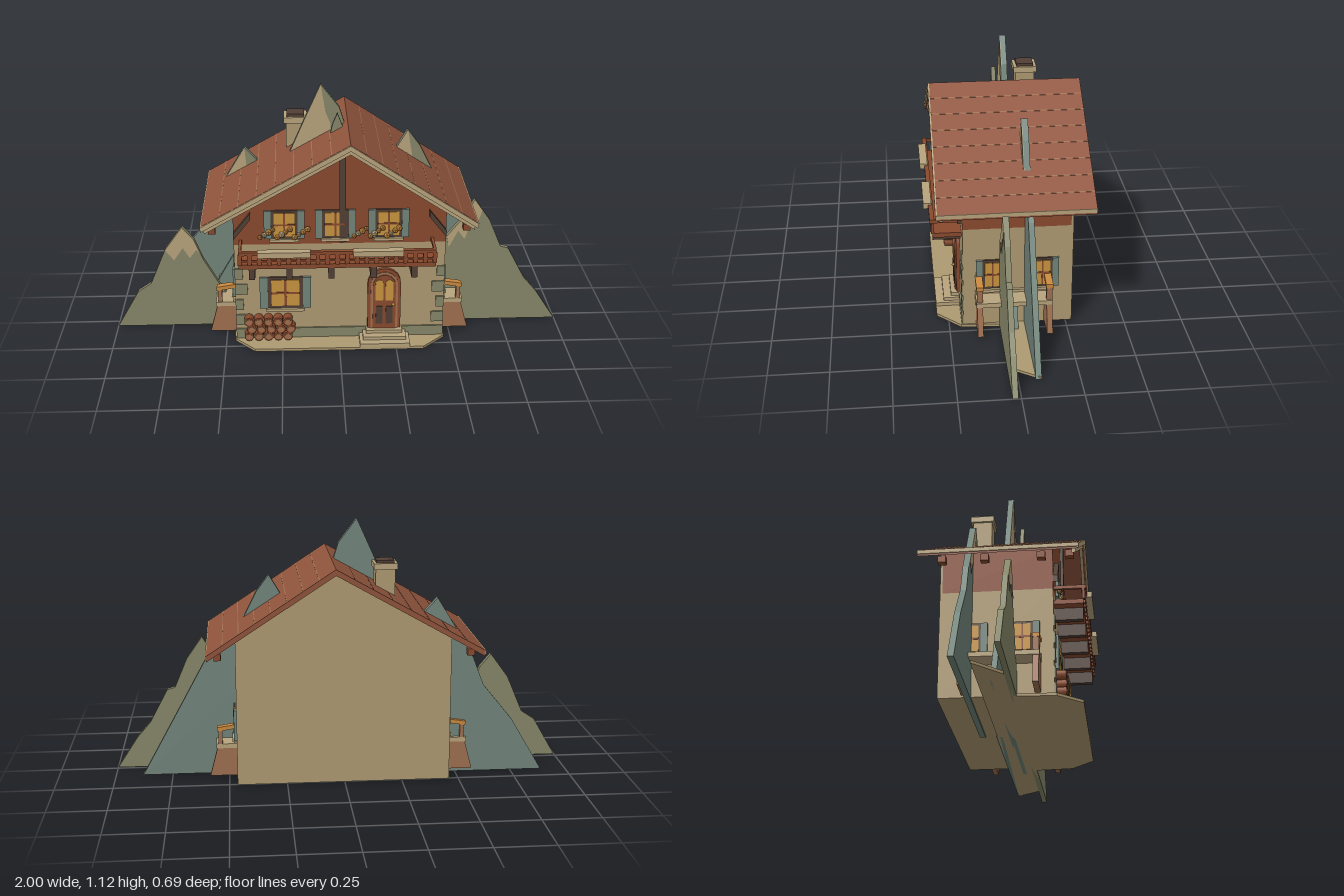
import * as THREE from 'three';

const mat = (name, color) => {
  const m = new THREE.MeshStandardMaterial({ color });
  m.name = name;
  return m;
};

export function createModel() {
  const cream = mat('plaster cream', 0xae9a72), red = mat('red timber', 0x8a4a2e), roofM = mat('roof tile', 0x8f543c);
  const teal = mat('slate teal', 0x72857b), olive = mat('olive stone', 0x87876a), dark = mat('dark timber', 0x513f35);
  const amber = mat('window amber', 0xc8943f), brown = mat('log brown', 0x9f7050), pale = mat('pale trim', 0xb8a47d);
  const flowerM = mat('flower orange', 0xc9893f);
  const model = new THREE.Group();
  model.name = 'alpineChalet';

  const add = (parent, geo, m, name, x = 0, y = 0, z = 0) => {
    const mesh = new THREE.Mesh(geo, m);
    mesh.name = name;
    mesh.position.set(x, y, z);
    parent.add(mesh);
    return mesh;
  };
  // Box given by its limits on each axis
  const box = (parent, m, name, x0, x1, y0, y1, z0, z1) =>
    add(parent, new THREE.BoxGeometry(x1 - x0, y1 - y0, z1 - z0), m, name, (x0 + x1) / 2, (y0 + y1) / 2, (z0 + z1) / 2);
  // Outline in x,y pushed from z0 to z1
  const slab = (parent, m, name, pts, z0, z1) => {
    const shape = new THREE.Shape(pts.map(p => new THREE.Vector2(p[0], p[1])));
    return add(parent, new THREE.ExtrudeGeometry(shape, { depth: z1 - z0, bevelEnabled: false }), m, name, 0, 0, z0);
  };

  // Ground: wide behind the front peaks, narrow in front of the door
  const ground = slab(model, cream, 'ground', [[-0.82, 0.09], [-0.69, -0.03], [-0.47, -0.03], [-0.46, -0.2], [-0.37, -0.3],
    [0.37, -0.3], [0.47, -0.2], [0.48, -0.03], [0.8, -0.03], [0.88, 0.09]], 0.002, 0.014);
  ground.rotation.x = -Math.PI / 2;
  ground.position.set(0, 0.002, 0);

  // Walls
  box(model, cream, 'lowerWalls', -0.455, 0.465, 0.01, 0.47, -0.275, 0.19);
  const gable = [[-0.455, 0.47], [0.465, 0.47], [0.465, 0.655], [0.045, 0.935], [-0.455, 0.65]];
  slab(model, red, 'upperWalls', gable, -0.265, 0.19);
  slab(model, cream, 'backGable', gable, -0.275, -0.265);
  box(model, olive, 'plinth', -0.455, 0.465, 0.01, 0.06, 0.19, 0.197);
  for (let i = 0; i < 4; i++) {
    const w = i % 2 ? 0.035 : 0.055, y = 0.08 + i * 0.075;
    box(model, olive, 'cornerStone', -0.455, -0.455 + w, y, y + 0.05, 0.19, 0.196);
    box(model, olive, 'cornerStone', 0.465 - w, 0.465, y, y + 0.05, 0.19, 0.196);
  }
  box(model, dark, 'gablePost', 0.002, 0.03, 0.48, 0.91, 0.19, 0.203);

  // Roof: two slopes with tile lines, gable trim and eave boards
  const rx = 0.045, ry = 0.96, ey = 0.605;
  for (const side of [-1, 1]) {
    const ex = side * 0.585, name = side < 0 ? 'right' : 'left';
    const at = t => [rx + (ex - rx) * t, ry + (ey - ry) * t];
    const strip = (t0, t1, up, down) => {
      const [a, b] = at(t0), [c, d] = at(t1);
      return [[a, b + up], [c, d + up], [c, d - down], [a, b - down]];
    };
    slab(model, roofM, name + 'RoofSlope', strip(0, 1, 0, 0.026), -0.35, 0.297);
    slab(model, pale, name + 'GableTrim', strip(0, 1, -0.001, 0.024), 0.297, 0.304);
    slab(model, pale, name + 'InnerTrim', strip(0, 0.98, -0.024, 0.044), 0.275, 0.29);
    for (let i = 1; i < 8; i++) slab(model, brown, 'tileLine', strip(i / 8 - 0.003, i / 8 + 0.003, 0.001, 0.004), -0.35, 0.297);
    box(model, pale, name + 'EaveBoard', ex - 0.004, ex + 0.004, 0.588, 0.605, -0.35, 0.3);
    // Rafter ends under the eaves
    for (const z of [0.265, 0.15, -0.08, -0.255])
      box(model, red, 'rafterEnd', side * 0.54 - 0.015, side * 0.54 + 0.015, 0.563, 0.592, z - 0.017, z + 0.017);
  }

  // Chimney
  box(model, cream, 'chimneyStack', -0.222, -0.138, 0.72, 0.94, -0.177, -0.093);
  box(model, pale, 'chimneyRim', -0.232, -0.13, 0.925, 0.951, -0.186, -0.084);
  box(model, dark, 'chimneyCap', -0.218, -0.142, 0.951, 0.963, -0.172, -0.098);

  // Window facing +z, centred at its own origin
  const windowUnit = (w, h, sw) => {
    const g = new THREE.Group();
    g.name = 'window';
    box(g, dark, 'windowFrame', -w / 2, w / 2, -h / 2, h / 2, 0, 0.008);
    for (const sx of [-1, 1]) {
      for (const sy of [-1, 1]) {
        add(g, new THREE.BoxGeometry(w * 0.36, h * 0.39, 0.004), amber, 'pane', sx * w * 0.215, sy * h * 0.225, 0.01);
      }
      add(g, new THREE.BoxGeometry(sw, h, 0.012), teal, 'shutter', sx * (w + sw) / 2, 0, 0.006);
    }
    box(g, red, 'mullion', -w * 0.035, w * 0.035, -h * 0.42, h * 0.42, 0.008, 0.014);
    box(g, red, 'transom', -w * 0.4, w * 0.4, -h * 0.03, h * 0.03, 0.008, 0.014);
    box(g, pale, 'sill', -w * 0.55, w * 0.55, -h / 2 - 0.013, -h / 2, 0, 0.02);
    model.add(g);
    return g;
  };
  for (const x of [-0.235, -0.015, 0.215]) windowUnit(0.115, 0.13, 0.03).position.set(x, 0.565, 0.19);
  windowUnit(0.155, 0.15, 0.035).position.set(-0.235, 0.238, 0.19);
  for (const side of [-1, 1]) for (const z of [0.065, -0.145]) {
    const w = windowUnit(0.085, 0.135, 0.027);
    w.position.set(side > 0 ? 0.465 : -0.455, 0.257, z);
    w.rotation.y = side * Math.PI / 2;
  }

  // Arched door with steps
  const arch = (x, w, y0, y1) => {
    const pts = [[x - w, y0], [x + w, y0]];
    for (let i = 0; i <= 10; i++) pts.push([x + w * Math.cos(i * Math.PI / 10), y1 - w + w * Math.sin(i * Math.PI / 10)]);
    return pts;
  };
  slab(model, red, 'doorFrame', arch(0.2, 0.073, 0.05, 0.35), 0.19, 0.206);
  slab(model, brown, 'doorSurround', arch(0.2, 0.06, 0.055, 0.335), 0.206, 0.209);
  slab(model, red, 'doorLeaf', arch(0.2, 0.05, 0.055, 0.322), 0.209, 0.213);
  for (const s of [-1, 1]) {
    const x = 0.2 + s * 0.022;
    slab(model, amber, 'doorGlass', arch(x, 0.017, 0.2, 0.3), 0.213, 0.216);
    box(model, dark, 'doorPanel', x - 0.015, x + 0.015, 0.085, 0.17, 0.213, 0.216);
  }
  add(model, new THREE.SphereGeometry(0.007, 8, 6), amber, 'doorKnob', 0.24, 0.18, 0.218);
  [[0.11, 0.03, 0.3], [0.095, 0.045, 0.265], [0.08, 0.06, 0.232]].forEach(([w, y, z]) =>
    box(model, pale, 'doorStep', 0.2 - w, 0.2 + w, 0.01, y, 0.19, z));

  // Balcony
  box(model, red, 'balconyFloor', -0.43, 0.41, 0.41, 0.43, 0.19, 0.31);
  for (const x of [-0.375, -0.215, -0.035, 0.145, 0.32])
    box(model, dark, 'balconyBracket', x - 0.013, x + 0.013, 0.358, 0.41, 0.19, 0.308);
  box(model, red, 'topRail', -0.43, 0.41, 0.478, 0.493, 0.302, 0.322);
  box(model, red, 'lowerRail', -0.43, 0.41, 0.445, 0.452, 0.306, 0.316);
  for (let i = 0; i <= 20; i++) {
    const x = -0.425 + i * 0.0415;
    box(model, red, 'baluster', x - 0.009, x + 0.009, 0.43, 0.478, 0.305, 0.317);
  }
  for (const x of [-0.425, 0.405]) {
    box(model, red, 'sideRail', x - 0.006, x + 0.006, 0.478, 0.493, 0.19, 0.31);
    const s = x < 0 ? -1 : 1, c = s < 0 ? -0.455 : 0.465;
    slab(model, dark, 'gableBrace', [[c, 0.5], [c, 0.53], [c - s * 0.075, 0.625], [c - s * 0.075, 0.595]], 0.19, 0.21);
  }

  // Flower boxes on the rail, flowers under the windows
  for (const [x0, x1] of [[-0.35, -0.125], [0.055, 0.27]]) {
    box(model, pale, 'flowerBox', x0, x1, 0.475, 0.5, 0.308, 0.343);
    for (let i = 0; i < 12; i++) {
      const r = 0.011 + 0.004 * ((i * 7) % 3) / 2;
      add(model, new THREE.IcosahedronGeometry(r, 0), i % 4 === 1 ? pale : flowerM, 'flower',
        x0 + 0.01 + i * (x1 - x0 - 0.02) / 11, 0.51 + 0.012 * ((i * 5) % 4), 0.207);
    }
  }

  // Log pile
  for (let r = 0; r < 3; r++) for (let i = 0; i < 5; i++) {
    const x = -0.398 + i * 0.043 + (r % 2) * 0.012, y = 0.04 + r * 0.036;
    add(model, new THREE.CylinderGeometry(0.021, 0.021, 0.045, 10), red, 'log', x, y, 0.212).rotation.x = Math.PI / 2;
    add(model, new THREE.CylinderGeometry(0.014, 0.014, 0.003, 10), brown, 'logEnd', x, y, 0.2355).rotation.x = Math.PI / 2;
  }

  // Benches along both side walls
  for (const s of [-1, 1]) {
    const c = s > 0 ? 0.465 : -0.455, px = d => c + s * d;
    const span = (m, name, a, b, ...rest) => box(model, m, name, Math.min(px(a), px(b)), Math.max(px(a), px(b)), ...rest);
    span(pale, 'benchSeat', 0, 0.09, 0.145, 0.165, -0.18, 0.14);
    span(pale, 'benchBack', 0, 0.012, 0.168, 0.18, -0.18, 0.14);
    for (const z of [0.125, -0.167]) {
      slab(model, brown, 'benchSide', [[px(0), 0.02], [px(0.118), 0.02], [px(0.085), 0.145], [px(0), 0.165]], z - 0.012, z + 0.012);
      span(brown, 'armPost', 0.062, 0.08, 0.155, 0.24, z - 0.012, z + 0.012);
      slab(model, flowerM, 'armRest', [[px(0), 0.235], [px(0.085), 0.222], [px(0.085), 0.24], [px(0), 0.253]], z - 0.015, z + 0.015);
    }
  }

  // Mountain plates, each with thin light and shaded faces on the front
  const mountain = (name, m, z0, z1, outline, cap, shade) => {
    slab(model, m, name, outline, z0, z1);
    slab(model, pale, name + 'Cap', cap, z1, z1 + 0.002);
    if (shade) slab(model, olive, name + 'Shade', shade, z1 + 0.002, z1 + 0.004);
  };
  mountain('frontRightPeak', olive, 0.02, 0.043,
    [[-1, 0.002], [-0.9, 0.175], [-0.84, 0.215], [-0.77, 0.38], [-0.69, 0.49], [-0.64, 0.43], [-0.6, 0.33], [-0.54, 0.22], [-0.4, 0.002]],
    [[-0.77, 0.38], [-0.69, 0.49], [-0.64, 0.43], [-0.61, 0.355], [-0.63, 0.38], [-0.66, 0.34], [-0.69, 0.39], [-0.73, 0.33]]);
  mountain('frontLeftPeak', olive, 0.012, 0.036,
    [[0.3, 0.002], [0.4, 0.33], [0.47, 0.4], [0.55, 0.5], [0.61, 0.6], [0.68, 0.5], [0.735, 0.37], [0.77, 0.36], [0.85, 0.21], [0.91, 0.14], [1, 0.002]],
    [[0.49, 0.425], [0.55, 0.5], [0.61, 0.6], [0.645, 0.55], [0.62, 0.47], [0.6, 0.5], [0.57, 0.41], [0.54, 0.45], [0.5, 0.37]]);
  mountain('centrePeak', teal, -0.04, -0.017,
    [[-0.65, 0.002], [-0.5, 0.27], [-0.3, 0.6], [-0.21, 0.81], [-0.14, 0.97], [-0.07, 1.125], [0.01, 1.02], [0.035, 0.94], [0.3, 0.5], [0.53, 0.002]],
    [[-0.3, 0.6], [-0.21, 0.81], [-0.14, 0.97], [-0.07, 1.125], [0.01, 1.02], [0.035, 0.94], [0, 0.6]],
    [[-0.07, 1.125], [0.01, 1.02], [0.035, 0.94], [0.05, 0.8], [-0.02, 0.85], [-0.03, 0.95], [-0.05, 1]]);
  slab(model, olive, 'smallCentrePeak', [[-0.06, 0.8], [-0.02, 0.96], [0, 1.008], [0.022, 0.95], [0.05, 0.8]], 0.01, 0.028);
  mountain('backLeftPeak', teal, -0.095, -0.07,
    [[0, 0.002], [0.2, 0.62], [0.265, 0.81], [0.315, 0.895], [0.37, 0.82], [0.43, 0.7], [0.58, 0.55], [0.7, 0.33], [0.88, 0.002]],
    [[0.2, 0.62], [0.265, 0.81], [0.315, 0.895], [0.37, 0.82], [0.43, 0.7], [0.4, 0.6]],
    [[0.315, 0.895], [0.37, 0.82], [0.43, 0.7], [0.4, 0.62], [0.34, 0.75]]);
  mountain('backRightPeak', teal, -0.165, -0.14,
    [[-0.89, 0.002], [-0.75, 0.24], [-0.62, 0.4], [-0.57, 0.53], [-0.48, 0.68], [-0.41, 0.795], [-0.35, 0.73], [-0.15, 0.4], [0, 0.002]],
    [[-0.57, 0.53], [-0.48, 0.68], [-0.41, 0.795], [-0.35, 0.73], [-0.4, 0.56], [-0.47, 0.6], [-0.5, 0.53], [-0.54, 0.57]],
    [[-0.41, 0.795], [-0.35, 0.73], [-0.32, 0.66], [-0.4, 0.68]]);

  return model;
}
